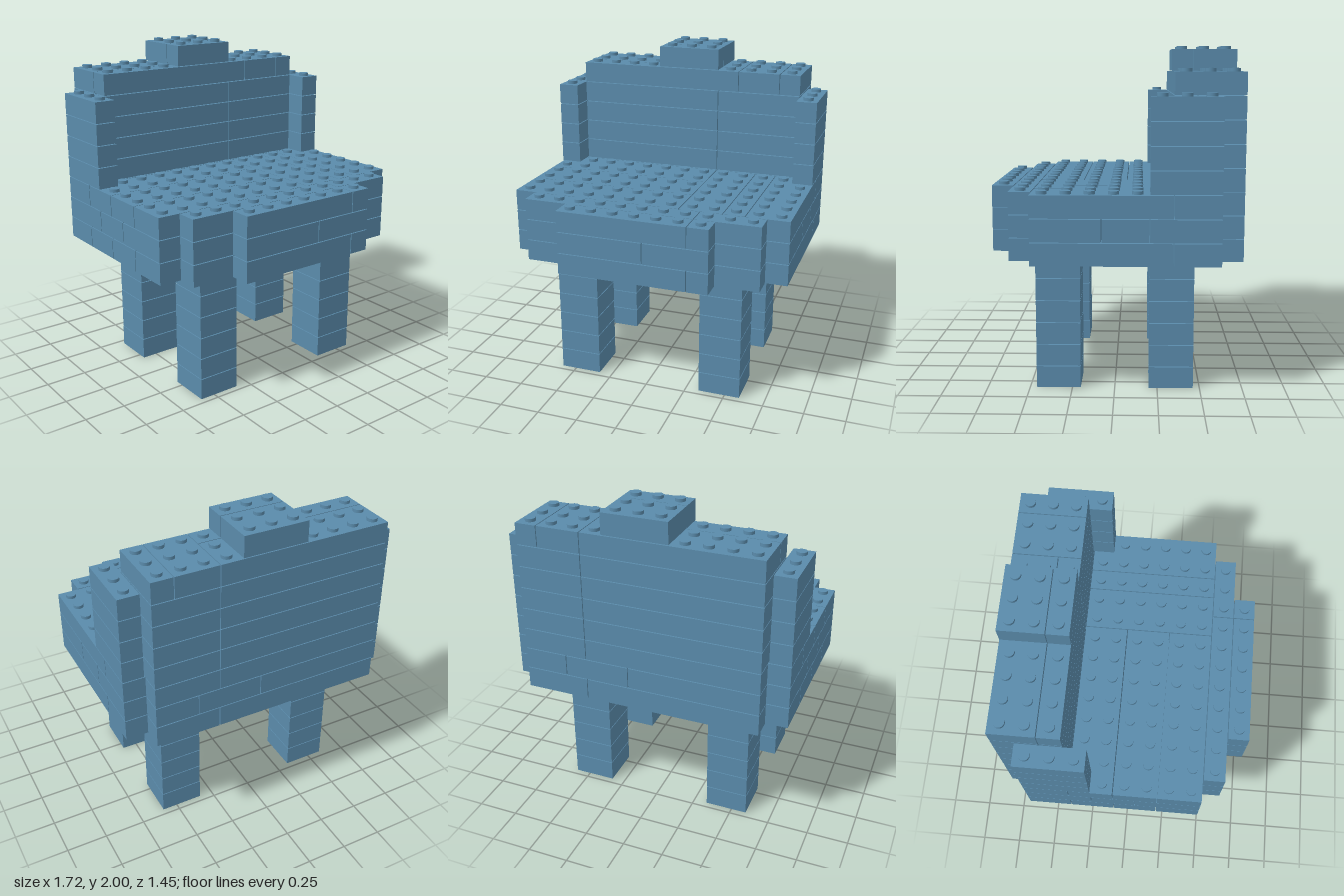
import * as THREE from 'three';
import { mergeGeometries } from 'three/addons/utils/BufferGeometryUtils.js';

const P = 0.1324;          // stud pitch and layer height
const GAP = 0.005;         // seam between bricks
const STUD_R = 0.031, STUD_H = 0.019;

// grid cell edge -> position (13 cells wide, 11 deep)
const gx = (i) => (i - 6.5) * P;
const gz = (j) => (j - 5.5) * P;

export function createModel() {
  const model = new THREE.Group();
  model.name = 'brickChair';
  const blue = new THREE.MeshStandardMaterial({ color: 0x5a8bab });
  blue.name = 'steel blue';

  const filled = new Set();
  const cells = [];

  function part(name) {
    const group = new THREE.Group();
    group.name = name;
    model.add(group);
    return group;
  }

  // one brick on a layer, spanning cells i0..i1 across and j0..j1 deep
  function brick(group, layer, i0, i1, j0, j1) {
    const geo = new THREE.BoxGeometry((i1 - i0) * P - GAP, P - GAP, (j1 - j0) * P - GAP);
    const mesh = new THREE.Mesh(geo, blue);
    mesh.name = group.name + 'Brick';
    mesh.position.set((gx(i0) + gx(i1)) / 2, layer * P + (P - GAP) / 2, (gz(j0) + gz(j1)) / 2);
    group.add(mesh);
    for (let i = i0; i < i1; i++) {
      for (let j = j0; j < j1; j++) {
        filled.add([layer, i, j].join());
        cells.push([layer, i, j]);
      }
    }
  }

  // four legs of six stacked bricks
  for (const i of [2, 9]) {
    for (const j of [2, 7]) {
      const leg = part('leg');
      for (let k = 0; k < 6; k++) brick(leg, k, i, i + 2, j, j + 2);
    }
  }

  // seat: bottom and top layers share a pattern, the middle one is staggered
  const seat = part('seat');
  const outer = [
    [1, 9, 0, 1], [9, 12, 0, 1],
    [0, 8, 1, 3], [8, 13, 1, 3],
    [0, 8, 3, 5], [0, 8, 5, 7], [0, 8, 7, 9],
    [8, 10, 3, 9], [10, 11, 3, 9], [11, 13, 3, 9],
    [1, 9, 9, 10], [9, 12, 9, 10],
    [3, 9, 10, 11], [9, 10, 10, 11],
  ];
  const middle = [
    [1, 7, 0, 1], [7, 10, 0, 1], [10, 12, 0, 1],
    [0, 7, 1, 4], [7, 13, 1, 4],
    [0, 7, 4, 6], [7, 13, 4, 6],
    [0, 7, 6, 9], [7, 13, 6, 9],
    [1, 8, 9, 10], [8, 12, 9, 10],
    [3, 7, 10, 11], [7, 10, 10, 11],
  ];
  [outer, middle, outer].forEach((rows, k) => rows.forEach((r) => brick(seat, 6 + k, ...r)));

  // backrest wall and side posts
  const back = part('backrest');
  const posts = [[0, part('rightPost')], [12, part('leftPost')]];
  for (let k = 9; k < 13; k++) {
    brick(back, k, 1, 9, 0, 2);
    brick(back, k, 9, 12, 0, 2);
    brick(back, k, 1, 8, 2, 3);
    brick(back, k, 8, 12, 2, 3);
    for (const [i, post] of posts) brick(post, k, i, i + 1, 1, 4);
  }

  // top rail and crest
  const rail = part('topRail');
  for (const r of [[1, 9, 0, 2], [1, 9, 2, 3], [9, 11, 0, 3], [11, 12, 0, 3]]) brick(rail, 13, ...r);
  const crest = part('crest');
  brick(crest, 14, 5, 8, 0, 2);
  brick(crest, 14, 5, 8, 2, 3);

  // studs on every uncovered brick top
  const studs = [];
  for (const [k, i, j] of cells) {
    if (filled.has([k + 1, i, j].join())) continue;
    const stud = new THREE.CylinderGeometry(STUD_R, STUD_R, STUD_H, 20);
    stud.translate(gx(i + 0.5), (k + 1) * P - GAP + STUD_H / 2, gz(j + 0.5));
    studs.push(stud);
  }
  const studMesh = new THREE.Mesh(mergeGeometries(studs), blue);
  studMesh.name = 'studs';
  model.add(studMesh);

  return model;
}
